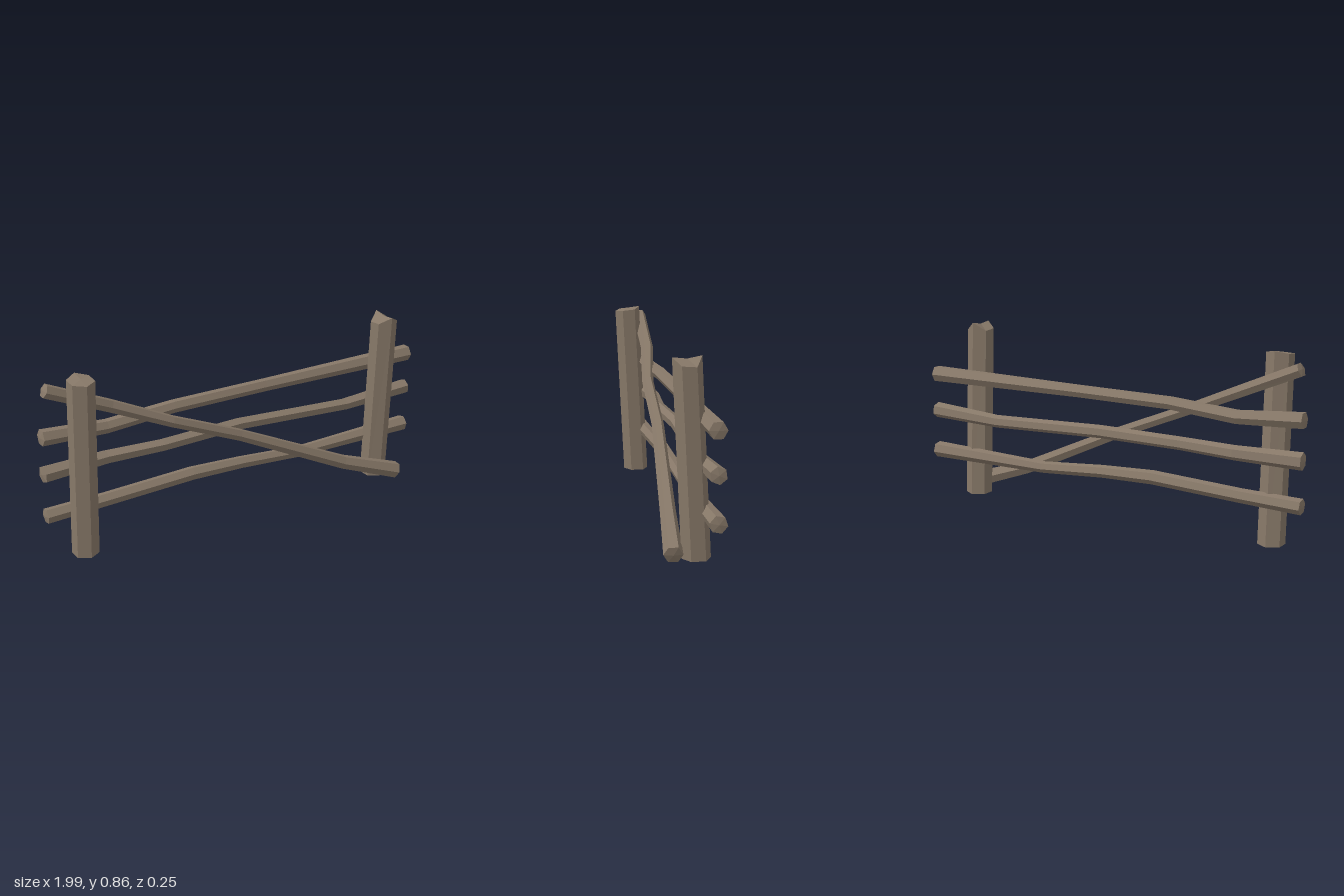
import * as THREE from 'three';

const wood = new THREE.MeshStandardMaterial({ color: 0x877868, flatShading: true });
wood.name = 'weathered wood';

// Six-sided beam swept along points [x, y, z, radius]; lift raises the corners of the end ring
function beam(name, points, { ref = [0, 1, 0], roll = 0, tip = 0.006, lift = null, level = false } = {}) {
  const centres = points.map(p => new THREE.Vector3(p[0], p[1], p[2]));
  const last = centres.length - 1;
  const tangentAt = i => level ? new THREE.Vector3(0, 1, 0)
    : centres[Math.min(i + 1, last)].clone().sub(centres[Math.max(i - 1, 0)]).normalize();

  const rings = centres.map((c, i) => {
    const t = tangentAt(i);
    const w = t.clone().cross(new THREE.Vector3(...ref)).normalize();
    const n = w.clone().cross(t);
    return Array.from({ length: 6 }, (_, k) => {
      const a = k * Math.PI / 3 + roll;
      const v = c.clone().addScaledVector(w, Math.cos(a) * points[i][3]).addScaledVector(n, Math.sin(a) * points[i][3]);
      if (lift && i === last) v.y += lift[k];
      return v;
    });
  });

  const pos = [];
  const tri = (...vs) => vs.forEach(v => pos.push(v.x, v.y, v.z));
  const startTip = centres[0].clone().addScaledVector(tangentAt(0), level ? 0 : -tip);
  const endTip = centres[last].clone().addScaledVector(tangentAt(last), tip);
  for (let k = 0; k < 6; k++) {
    const m = (k + 1) % 6;
    for (let i = 0; i < last; i++) {
      const [p, q] = [rings[i], rings[i + 1]];
      tri(p[k], q[k], p[m]);
      tri(p[m], q[k], q[m]);
    }
    tri(startTip, rings[0][k], rings[0][m]);
    tri(endTip, rings[last][m], rings[last][k]);
  }
  const geo = new THREE.BufferGeometry();
  geo.setAttribute('position', new THREE.Float32BufferAttribute(pos, 3));
  geo.computeVertexNormals();
  const mesh = new THREE.Mesh(geo, wood);
  mesh.name = name;
  return mesh;
}

export function createModel() {
  const fence = new THREE.Group();
  fence.name = 'fence';

  // Leaning posts with roughly cut tops (corner 0 faces back, corner 3 faces front)
  const post = { ref: [1, 0, 0], level: true };
  fence.add(
    beam('leftPost', [[-0.83, 0.005, -0.024, 0.062], [-0.83, 0.85, 0.018, 0.062]],
      { ...post, tip: 0.008, lift: [0.018, 0.006, 0, -0.005, 0, 0.006] }),
    beam('rightPost', [[0.775, 0.005, -0.024, 0.063], [0.775, 0.82, 0.018, 0.063]],
      { ...post, tip: 0.028, lift: [0.04, 0, 0.005, 0.035, 0.005, 0] }),
  );

  // Crooked horizontal rails
  fence.add(
    beam('topRail', [[-0.99, 0.59, -0.072, 0.038], [-0.675, 0.57, -0.078, 0.033],
      [-0.34, 0.593, -0.072, 0.031], [0.15, 0.594, -0.07, 0.031], [0.99, 0.592, -0.067, 0.04]]),
    beam('middleRail', [[-0.99, 0.412, -0.075, 0.04], [-0.675, 0.413, -0.094, 0.034],
      [-0.4, 0.414, -0.072, 0.031], [0.02, 0.419, -0.084, 0.031],
      [0.62, 0.392, -0.068, 0.031], [0.99, 0.409, -0.07, 0.038]], { roll: 0.4 }),
    beam('bottomRail', [[-0.99, 0.21, -0.072, 0.036], [-0.7, 0.217, -0.072, 0.033],
      [-0.25, 0.235, -0.068, 0.033], [0.02, 0.225, -0.068, 0.03],
      [0.35, 0.2, -0.07, 0.028], [0.99, 0.207, -0.072, 0.039]], { roll: 0.2 }),
  );

  // Diagonal brace woven from behind the left post to the front of the right post
  fence.add(beam('diagonalBrace', [[-0.965, 0.805, -0.066, 0.033], [-0.66, 0.672, -0.058, 0.031],
    [-0.38, 0.55, -0.014, 0.028], [-0.03, 0.405, -0.003, 0.029],
    [0.53, 0.148, 0.052, 0.035], [0.835, 0.042, 0.084, 0.042]]));

  return fence;
}
